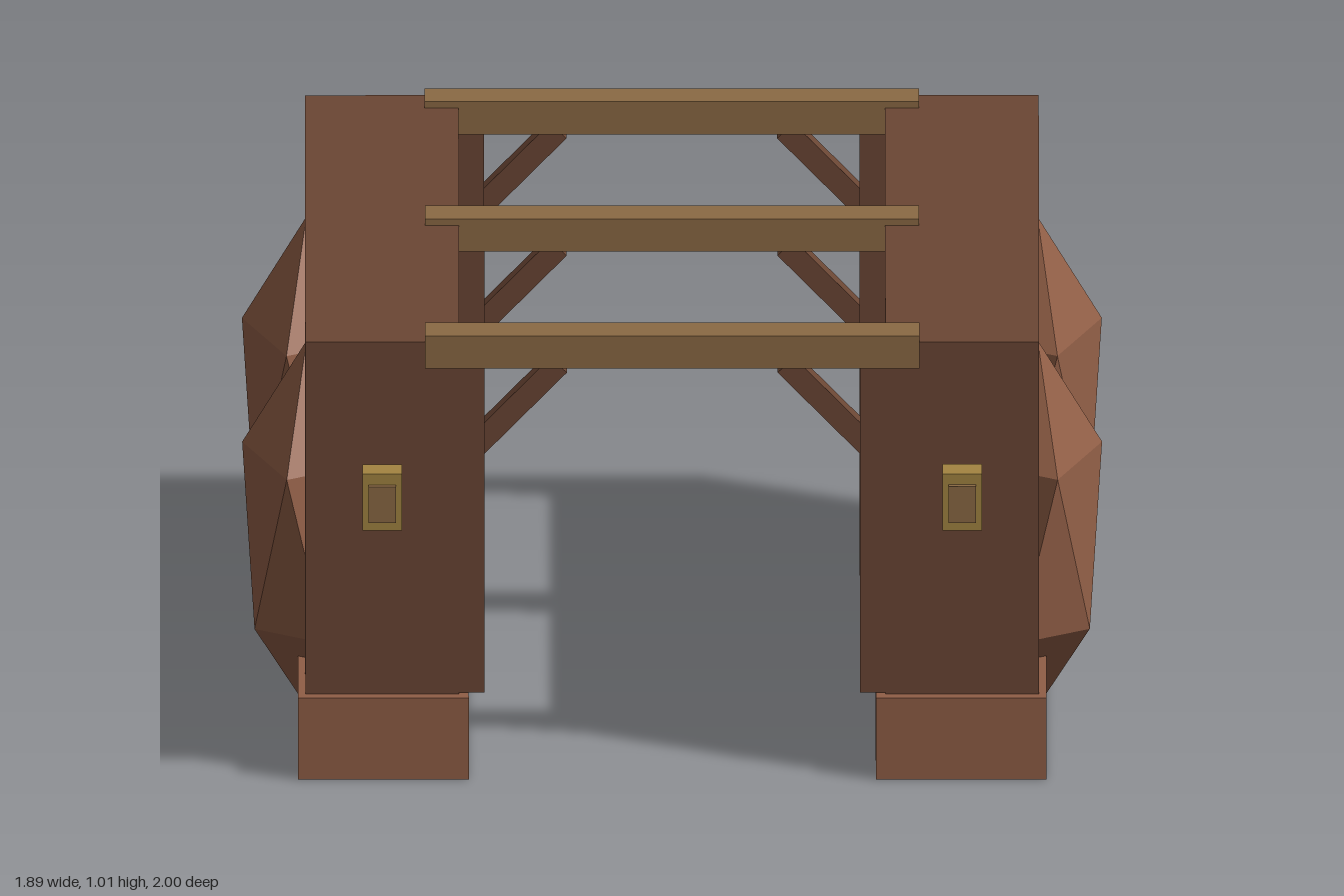
import * as THREE from 'three';

export function createModel() {
  const root = new THREE.Group();
  root.name = 'timberedPassage';

  const mat = (name, color) => {
    const m = new THREE.MeshStandardMaterial({ color });
    m.name = name;
    return m;
  };
  const earth = mat('darkEarth', 0x6b4634);
  const clay = mat('clay', 0x905e46);
  const timber = mat('timber', 0x8b6a44);
  const brass = mat('brass', 0xa38441);

  const add = (name, geometry, material, parent) => {
    const mesh = new THREE.Mesh(geometry, material);
    mesh.name = name;
    parent.add(mesh);
    return mesh;
  };
  // Box given by its limits along each axis
  const box = (name, [x0, x1], [y0, y1], [z0, z1], material, parent) => {
    const mesh = add(name, new THREE.BoxGeometry(x1 - x0, y1 - y0, z1 - z0), material, parent);
    mesh.position.set((x0 + x1) / 2, (y0 + y1) / 2, (z0 + z1) / 2);
    return mesh;
  };
  const mirrored = (side, a, b) => (side > 0 ? [a, b] : [-b, -a]);

  const frames = [0.847, -0.037, -0.922]; // z of each timber frame

  for (const side of [1, -1]) {
    const half = new THREE.Group();
    half.name = side > 0 ? 'leftSide' : 'rightSide';
    root.add(half);

    // Footing and wall
    box('footing', mirrored(side, 0.447, 0.822), [0, 0.187], [-1, 0.925], clay, half);
    box('wall', mirrored(side, 0.468, 0.806), [0.18, 0.995], [-0.97, 0.893], earth, half);

    // Posts with diagonal braces
    for (const z of frames) {
      box('post', mirrored(side, 0.412, 0.49), [0.19, 0.94], [z - 0.045, z + 0.045], earth, half);
      const brace = add('brace', new THREE.BoxGeometry(0.28, 0.05, 0.05), earth, half);
      brace.position.set(side * 0.347, 0.835, z);
      brace.rotation.z = -side * 0.8;
    }

    // Faceted boulders half sunk in the outer wall, one corner pointing up
    for (const z of [0.43, -0.505]) {
      const geo = new THREE.IcosahedronGeometry(1, 0);
      geo.rotateZ(Math.atan(2 / (1 + Math.sqrt(5))));
      if (side > 0) geo.rotateY(Math.PI);
      geo.scale(0.158, 0.42, 0.34);
      add('boulder', geo, clay, half).position.set(side * 0.803, 0.4375, z);
    }

    // Lantern on the front end
    const lantern = new THREE.Group();
    lantern.name = 'lantern';
    half.add(lantern);
    box('lanternBody', mirrored(side, 0.594, 0.68), [0.59, 0.72], [0.912, 0.985], brass, lantern);
    box('lanternPane', mirrored(side, 0.607, 0.667), [0.612, 0.695], [0.98, 1], timber, lantern);
  }

  // Cross beams
  for (const z of frames) {
    box('crossBeam', [-0.543, 0.543], [0.935, 1.01], [z - 0.05, z + 0.05], timber, root);
  }

  return root;
}
